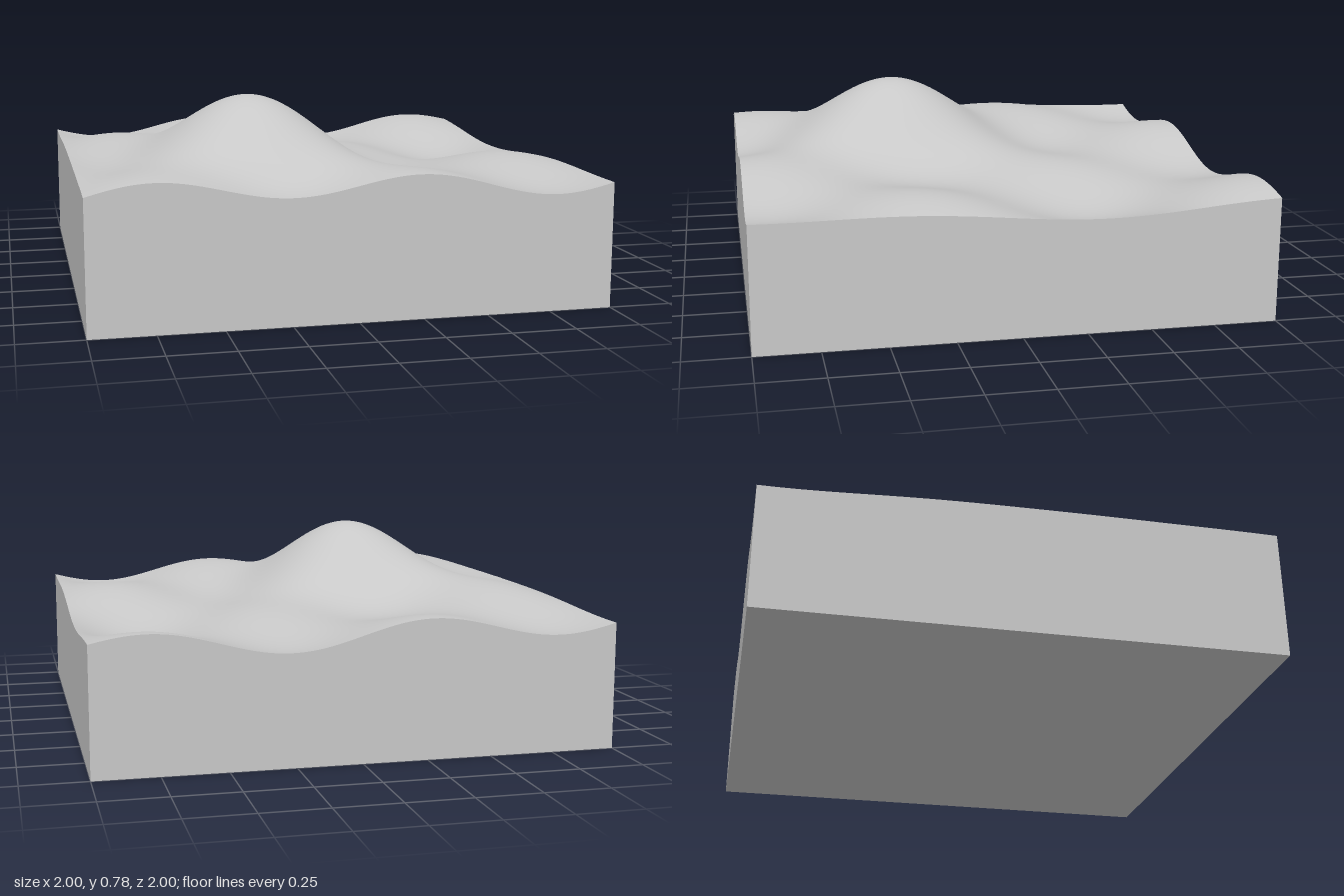
import * as THREE from 'three';

// Broad swellings of the ground: centre x, centre z, height, sharpness
const swells = [
  [-0.3, 0.3, 0.25, 4.7],     // main hill
  [0.5, -0.32, -0.078, 2],    // wide hollow
];

// Ground height: rolling ripples plus the swells
function groundHeight(x, z) {
  let y = 0.5 - 0.046 * Math.sin(6.1 * x) * Math.sin(4.95 * z);
  for (const [cx, cz, height, sharpness] of swells) {
    y += height * Math.exp(-sharpness * ((x - cx) ** 2 + (z - cz) ** 2));
  }
  return y;
}

export function createModel() {
  const model = new THREE.Group();
  model.name = 'terrainModel';

  const stone = new THREE.MeshStandardMaterial({ color: 0xc8c8c8 });
  stone.name = 'stone grey';

  // A finely divided slab whose upper corners follow the ground;
  // each side keeps its own corners, so the rim stays sharp
  const geometry = new THREE.BoxGeometry(2, 1, 2, 96, 1, 96);
  const position = geometry.attributes.position;
  for (let i = 0; i < position.count; i++) {
    const isTop = position.getY(i) > 0;
    position.setY(i, isTop ? groundHeight(position.getX(i), position.getZ(i)) : 0);
  }
  geometry.computeVertexNormals();

  const block = new THREE.Mesh(geometry, stone);
  block.name = 'terrainBlock';
  model.add(block);
  return model;
}
